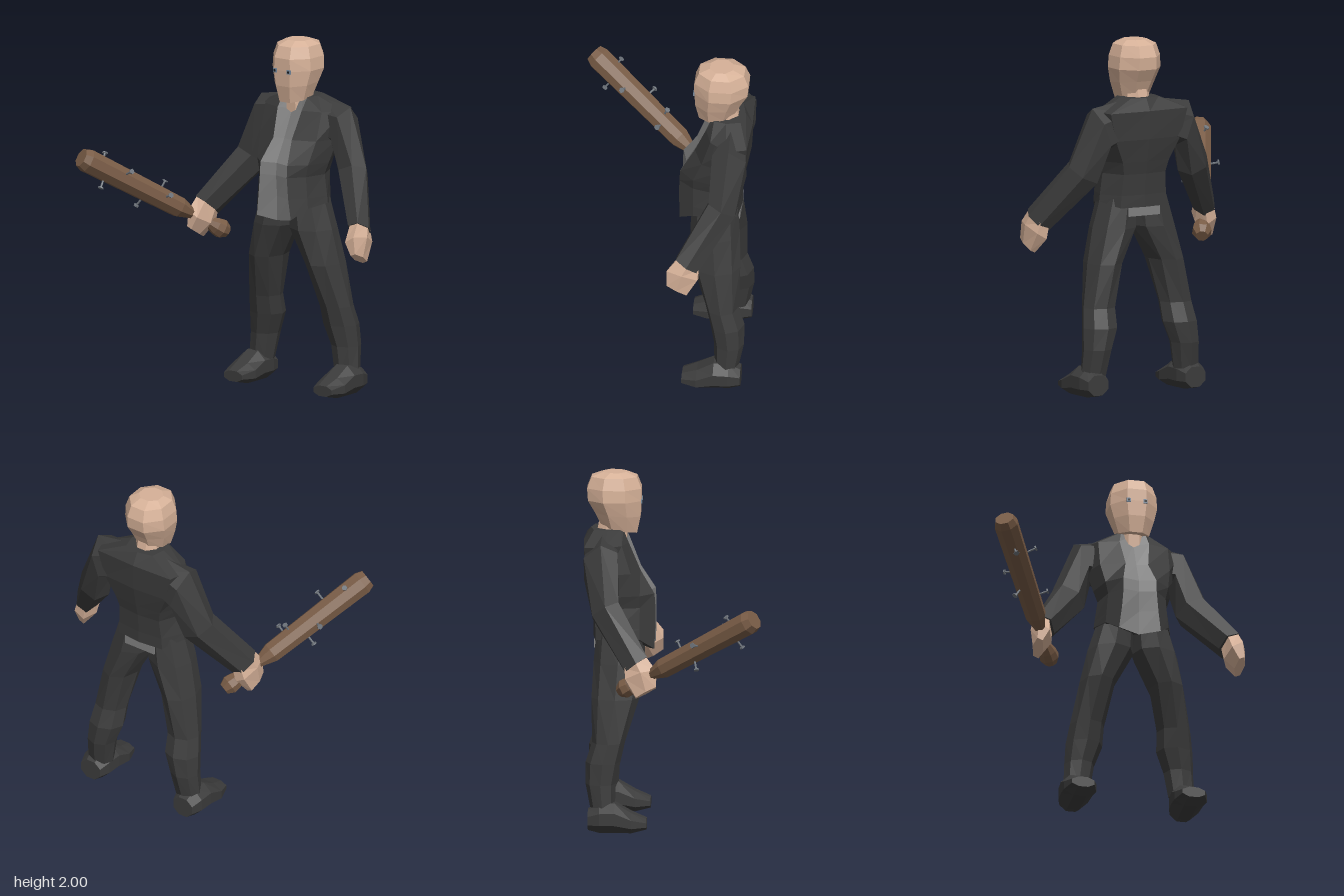
import * as THREE from 'three';

const material = (name, color) => {
  const m = new THREE.MeshStandardMaterial({ color });
  m.name = name;
  return m;
};

// Joins cross-section loops into a flat-shaded, capped, outward-facing skin.
// keep(column) picks the columns of quads to emit.
function loft(rings, keep = () => true, caps = true) {
  const n = rings[0].length, last = rings.length - 1, tris = [];
  const mid = (r) => r.reduce((s, p) => s.add(p), new THREE.Vector3()).divideScalar(n);
  const a0 = mid(rings[0]), a1 = mid(rings[last]);
  for (let i = 0; i < n; i++) {
    const j = (i + 1) % n, show = keep(i);
    for (let k = 0; k < last; k++) {
      const a = rings[k][i], b = rings[k][j], c = rings[k + 1][j], d = rings[k + 1][i];
      tris.push([a, b, c, show], [a, c, d, show]);
    }
    tris.push([a0, rings[0][j], rings[0][i], caps], [a1, rings[last][i], rings[last][j], caps]);
  }
  const centre = a0.clone().lerp(a1, 0.5), v = () => new THREE.Vector3();
  let volume = 0;
  for (const [a, b, c] of tris) {
    volume += v().subVectors(a, centre).dot(v().subVectors(b, centre).cross(v().subVectors(c, centre)));
  }
  const points = [];
  for (const [a, b, c, show] of tris) if (show) points.push(a, ...(volume > 0 ? [b, c] : [c, b]));
  const g = new THREE.BufferGeometry().setFromPoints(points);
  g.computeVertexNormals();
  return g;
}

// Polygon loop around centre c with half-axes u and v
function ring(c, u, v, n = 8, phase = 0) {
  const k = phase ? 1 / Math.cos(phase) : 1;
  return Array.from({ length: n }, (_, i) => {
    const a = phase + (i / n) * Math.PI * 2, p = Math.cos(a) * k, q = Math.sin(a) * k;
    return new THREE.Vector3(c[0] + u[0] * p + v[0] * q, c[1] + u[1] * p + v[1] * q, c[2] + u[2] * p + v[2] * q);
  });
}

const flat = (geometry) => {
  const g = geometry.index ? geometry.toNonIndexed() : geometry;
  g.computeVertexNormals();
  return g;
};

export function createModel() {
  const suit = material('charcoal suit', 0x3b3b3b);
  const shirt = material('grey shirt', 0x808080);
  const skin = material('skin', 0xd6b198);
  const wood = material('brown wood', 0x795c46);
  const steel = material('nail steel', 0x6f757c);
  const iris = material('eye blue grey', 0x74889c);
  const black = material('pupil black', 0x15181c);

  const model = new THREE.Group();
  model.name = 'manWithBat';
  const body = new THREE.Group();
  body.name = 'body';
  body.position.x = 0.175;
  model.add(body);
  const add = (parent, name, geometry, mat) => {
    const m = new THREE.Mesh(geometry, mat);
    m.name = name;
    parent.add(m);
    return m;
  };

  // Torso rows: y, front z, then x,z of lapel, front, side, back, then spine z
  const torso = [
    [1.09, -0.15, 0.12, -0.12, 0.18, -0.2, 0.22, -0.33, 0.15, -0.45, -0.465],
    [1.13, -0.15, 0.105, -0.115, 0.175, -0.2, 0.215, -0.33, 0.145, -0.45, -0.465],
    [1.25, -0.14, 0.095, -0.115, 0.165, -0.2, 0.198, -0.33, 0.135, -0.46, -0.475],
    [1.32, -0.145, 0.095, -0.12, 0.18, -0.2, 0.22, -0.34, 0.15, -0.475, -0.49],
    [1.45, -0.215, 0.065, -0.2, 0.2, -0.25, 0.25, -0.38, 0.21, -0.5, -0.515],
    [1.61, -0.29, 0.085, -0.265, 0.2, -0.3, 0.28, -0.4, 0.25, -0.51, -0.52],
    [1.68, -0.33, 0.07, -0.295, 0.09, -0.31, 0.11, -0.38, 0.09, -0.46, -0.48],
  ];
  const hemDrop = [0.1, 0.08, 0.02, 0, 0.03, 0.03];
  const torsoRings = torso.map(([y, z0, x1, z1, x2, z2, x3, z3, x4, z4, z5], row) => {
    const half = [[0, z0], [x1, z1], [x2, z2], [x3, z3], [x4, z4], [0, z5]]
      .map(([x, z], i) => new THREE.Vector3(x, y - (row === 0 ? hemDrop[i] : 0), z));
    const other = half.slice(1, 5).reverse().map((p) => new THREE.Vector3(-p.x, p.y, p.z));
    return [...half, ...other];
  });
  const isShirt = (i) => i === 0 || i === 9;
  add(body, 'jacket', loft(torsoRings, (i) => !isShirt(i)), suit);
  add(body, 'shirtFront', loft(torsoRings, isShirt, false), shirt);
  add(body, 'shirtTail', new THREE.BoxGeometry(0.2, 0.05, 0.03), shirt).position.set(0, 1.035, -0.443);

  // Head and neck rows: y, half width, front z, back z, lift at the back
  const upright = (rows) => loft(rows.map(([y, w, zf, zb, lift = 0]) =>
    ring([0, y + lift / 2, (zf + zb) / 2], [w, 0, 0], [0, -lift / 2, (zf - zb) / 2], 8, Math.PI / 8)));
  add(body, 'neck', upright([[1.58, 0.08, -0.28, -0.46], [1.74, 0.065, -0.27, -0.43]]), skin);
  add(body, 'head', upright([
    [1.655, 0.088, -0.22, -0.42, 0.04], [1.75, 0.115, -0.2, -0.455, 0.02], [1.84, 0.135, -0.195, -0.495],
    [1.91, 0.13, -0.195, -0.5], [1.975, 0.11, -0.22, -0.475], [2.0, 0.065, -0.28, -0.41],
  ]), skin);

  // Arm and hand rows: outer x,y, inner x,y, centre z, forward half-axis y,z
  const armRows = [
    [0.12, 1.665, 0.1, 1.42, -0.41, 0, 0.09],
    [0.315, 1.635, 0.225, 1.385, -0.415, 0.02, 0.11],
    [0.45, 1.31, 0.262, 1.235, -0.385, 0.045, 0.085],
    [0.607, 1.02, 0.473, 0.975, -0.205, 0.05, 0.07],
  ];
  const handRows = [
    [0.595, 1.035, 0.485, 0.99, -0.215, 0.045, 0.065],
    [0.615, 0.97, 0.495, 0.9, -0.18, 0.03, 0.1],
    [0.61, 0.86, 0.55, 0.835, -0.15, 0.035, 0.065],
  ];
  const limb = (rows, s) => loft(rows.map(([ox, oy, ix, iy, z, vy, vz]) =>
    ring([s * (ox + ix) / 2, (oy + iy) / 2, z], [s * (ox - ix) / 2, (oy - iy) / 2, 0], [0, vy, vz], 6)));

  // Leg rows: y, outer x, inner x, front z, back z
  const legRows = [
    [1.11, 0.205, -0.01, -0.19, -0.445], [0.94, 0.258, -0.005, -0.18, -0.46],
    [0.745, 0.3, 0.1, -0.2, -0.47], [0.5, 0.347, 0.152, -0.28, -0.465],
    [0.39, 0.365, 0.155, -0.305, -0.5], [0.27, 0.37, 0.2, -0.33, -0.5], [0.12, 0.378, 0.225, -0.335, -0.47],
  ];
  // Shoe rows: z, half width, bottom y, top y
  const shoeRows = [
    [-0.485, 0.065, 0.015, 0.13], [-0.42, 0.085, 0, 0.165], [-0.335, 0.09, 0, 0.17],
    [-0.24, 0.093, 0, 0.115], [-0.155, 0.065, 0.02, 0.08],
  ];
  for (const [s, side] of [[1, 'left'], [-1, 'right']]) {
    add(body, side + 'Sleeve', limb(armRows, s), suit);
    add(body, side + 'Hand', limb(handRows, s), skin);
    add(body, side + 'TrouserLeg', loft(legRows.map(([y, xo, xi, zf, zb]) =>
      ring([s * (xo + xi) / 2, y, (zf + zb) / 2], [s * (xo - xi) / 2, 0, 0], [0, 0, (zf - zb) / 2]))), suit);
    add(body, side + 'Shoe', loft(shoeRows.map(([z, w, y0, y1]) =>
      ring([s * 0.3175, (y0 + y1) / 2, z], [w, 0, 0], [0, (y1 - y0) / 2, 0], 8, Math.PI / 8))), suit);
    add(body, side + 'Eye', new THREE.BoxGeometry(0.024, 0.024, 0.008), iris).position.set(s * 0.048, 1.838, -0.194);
    add(body, side + 'Pupil', new THREE.BoxGeometry(0.012, 0.012, 0.004), black).position.set(s * 0.048, 1.838, -0.189);
  }

  // Bat, turned from pommel to tip
  const pommel = new THREE.Vector3(-0.295, 0.835, -0.3), tip = new THREE.Vector3(-0.735, 1.335, 0.47);
  const axis = tip.clone().sub(pommel), length = axis.length();
  axis.normalize();
  const up = new THREE.Vector3(0, 1, 0);
  const profile = [[0, 0], [0.035, 0], [0.057, 0.04], [0.05, 0.08], [0.03, 0.13], [0.03, 0.24], [0.06, 0.33], [0.07, 0.96], [0.055, 1], [0, 1]]
    .map(([r, t]) => new THREE.Vector2(r, t * length));
  const bat = add(model, 'bat', flat(new THREE.LatheGeometry(profile, 8)), wood);
  bat.position.copy(pommel);
  bat.quaternion.setFromUnitVectors(up, axis);

  // Nails, each standing square to the bat with its head at the given point
  const nailHeads = [
    [-0.69, 1.34, 0.31], [-0.48, 1.16, 0.03], [-0.4, 1.095, 0.08], [-0.515, 1.253, 0.29],
    [-0.65, 1.16, 0.4], [-0.6, 1.02, 0.14], [-0.656, 1.17, 0.12],
  ];
  for (const h of nailHeads) {
    const head = new THREE.Vector3(...h);
    const foot = pommel.clone().addScaledVector(axis, head.clone().sub(pommel).dot(axis));
    const out = head.clone().sub(foot), reach = out.length();
    const nail = new THREE.Group();
    nail.name = 'nail';
    nail.position.copy(foot);
    nail.quaternion.setFromUnitVectors(up, out.normalize());
    add(nail, 'nailShank', flat(new THREE.CylinderGeometry(0.006, 0.006, reach, 6)), steel).position.y = reach / 2;
    add(nail, 'nailHead', flat(new THREE.CylinderGeometry(0.016, 0.016, 0.008, 6)), steel).position.y = reach;
    model.add(nail);
  }
  return model;
}
